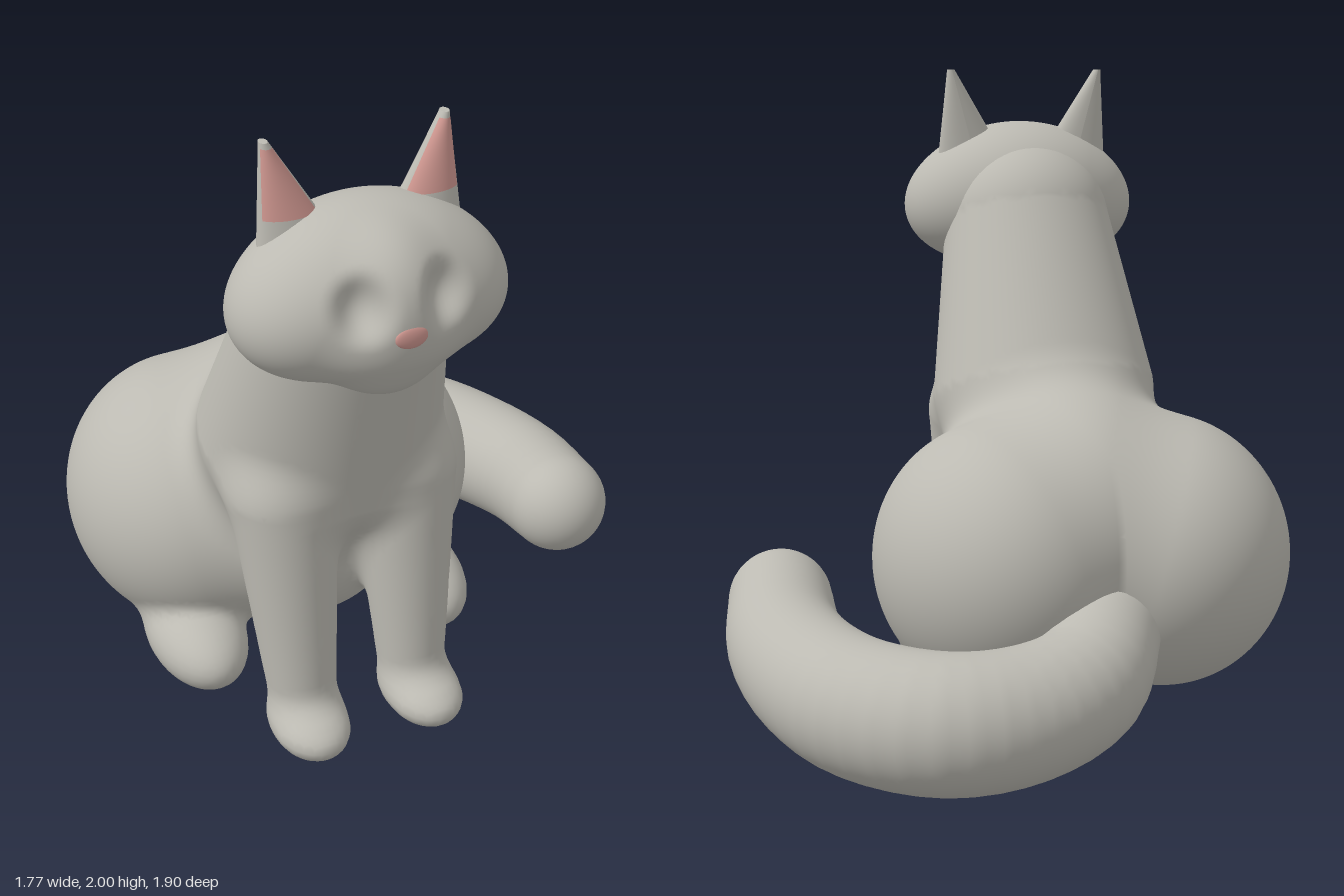
import * as THREE from 'three';

const CX = -0.23; // the animal's midline; the tail curls out to its left

const fur = new THREE.MeshStandardMaterial({ color: 0xbcbab2 });
fur.name = 'grey fur';
const pink = new THREE.MeshStandardMaterial({ color: 0xcf9790 });
pink.name = 'pink skin';

// ---- distance helpers for soft, blended volumes ----
const lerp = THREE.MathUtils.lerp;

function blend(a, b, k) {
  const h = Math.max(k - Math.abs(a - b), 0) / k;
  return Math.min(a, b) - h * h * k * 0.25;
}

function carve(a, b, k) {
  return -blend(-a, b, k);
}

function ellipsoid(x, y, z, [cx, cy, cz], [rx, ry, rz]) {
  const a = (x - cx) / rx, b = (y - cy) / ry, c = (z - cz) / rz;
  const k0 = Math.hypot(a, b, c);
  const k1 = Math.hypot(a / rx, b / ry, c / rz);
  return k1 < 1e-6 ? -Math.min(rx, ry, rz) : (k0 * (k0 - 1)) / k1;
}

// limb tapering from radius ra at a to rb at b
function limb(x, y, z, a, ra, b, rb) {
  const dx = b[0] - a[0], dy = b[1] - a[1], dz = b[2] - a[2];
  let t = ((x - a[0]) * dx + (y - a[1]) * dy + (z - a[2]) * dz) / (dx * dx + dy * dy + dz * dz);
  t = Math.min(1, Math.max(0, t));
  return Math.hypot(x - a[0] - dx * t, y - a[1] - dy * t, z - a[2] - dz * t) - lerp(ra, rb, t);
}

// ---- smooth skin over a distance function (one vertex per crossed cell) ----
function skin(sdf, min, max, h) {
  const n = min.map((m, i) => Math.ceil((max[i] - m) / h) + 1);
  const step = [1, n[0], n[0] * n[1]];
  const field = new Float32Array(n[0] * n[1] * n[2]);
  const cell = new Int32Array(field.length).fill(-1);
  const each = (fn) => {
    for (let k = 0; k < n[2]; k++)
      for (let j = 0; j < n[1]; j++)
        for (let i = 0; i < n[0]; i++) fn([i, j, k], i + j * step[1] + k * step[2]);
  };
  each((g, id) => {
    field[id] = sdf(min[0] + g[0] * h, min[1] + g[1] * h, min[2] + g[2] * h);
  });

  const gradient = ([x, y, z]) => {
    const e = 0.004;
    return new THREE.Vector3(
      sdf(x + e, y, z) - sdf(x - e, y, z),
      sdf(x, y + e, z) - sdf(x, y - e, z),
      sdf(x, y, z + e) - sdf(x, y, z - e)).normalize();
  };

  const position = [], normal = [], index = [];
  each((g, id) => {
    if (g.some((v, i) => v >= n[i] - 1)) return;
    const sum = [0, 0, 0];
    let count = 0;
    for (let c = 0; c < 8; c++) {
      const o = [c & 1, (c >> 1) & 1, c >> 2];
      const ia = id + o[0] + o[1] * step[1] + o[2] * step[2];
      for (let a = 0; a < 3; a++) {
        if (o[a]) continue;
        const da = field[ia], db = field[ia + step[a]];
        if (da < 0 === db < 0) continue;
        for (let i = 0; i < 3; i++) sum[i] += o[i] + (i === a ? da / (da - db) : 0);
        count++;
      }
    }
    if (!count) return;
    const p = sum.map((s, i) => min[i] + (g[i] + s / count) * h);
    const d = sdf(...p), v = gradient(p);
    const q = [p[0] - v.x * d, p[1] - v.y * d, p[2] - v.z * d];
    cell[id] = position.length / 3;
    position.push(...q);
    normal.push(...gradient(q).toArray());
  });

  each((g, id) => {
    for (let a = 0; a < 3; a++) {
      const b = (a + 1) % 3, c = (a + 2) % 3;
      if (g[a] >= n[a] - 1 || !g[b] || !g[c]) continue;
      const inside = field[id] < 0;
      if (inside === field[id + step[a]] < 0) continue;
      const q = [id - step[b] - step[c], id - step[c], id, id - step[b]].map((i) => cell[i]);
      if (!inside) q.reverse();
      index.push(q[0], q[1], q[2], q[0], q[2], q[3]);
    }
  });

  const geo = new THREE.BufferGeometry();
  geo.setAttribute('position', new THREE.Float32BufferAttribute(position, 3));
  geo.setAttribute('normal', new THREE.Float32BufferAttribute(normal, 3));
  geo.setIndex(index);
  return geo;
}

// ---- seated body: chest, back, haunches, legs and paws (mirrored in x) ----
function bodyShape(x, y, z) {
  x = Math.abs(x);
  let d = limb(x / 1.07, y, z, [0, 1.5, 0.55], 0.26, [0, 0.95, 0.33], 0.345);
  let rear = ellipsoid(x, y, z, [0, 0.58, 0], [0.4, 0.45, 0.5]);
  rear = blend(rear, ellipsoid(x, y, z, [0.25, 0.5, -0.12], [0.41, 0.43, 0.465]), 0.08);
  d = blend(d, rear, 0.12);
  let leg = limb(x, y, z, [0.19, 0.85, 0.5], 0.16, [0.18, 0.17, 0.61], 0.1);
  leg = blend(leg, ellipsoid(x, y, z, [0.187, 0.13, 0.68], [0.115, 0.078, 0.152]), 0.06);
  d = blend(d, leg, 0.07);
  return blend(d, ellipsoid(x, y, z, [0.38, 0.19, 0.2], [0.15, 0.13, 0.26]), 0.05);
}

// ---- head: skull, cheeks, muzzle, chin and hollow eye sockets ----
function headShape(x, y, z) {
  x = Math.abs(x);
  let d = ellipsoid(x, y, z, [0, 1.575, 0.65], [0.36, 0.252, 0.26]);
  d = blend(d, ellipsoid(x, y, z, [0.2, 1.54, 0.67], [0.187, 0.155, 0.18]), 0.08);
  d = blend(d, ellipsoid(x, y, z, [0, 1.5, 0.78], [0.2, 0.13, 0.145]), 0.06);
  d = blend(d, ellipsoid(x, y, z, [0, 1.6, 0.77], [0.14, 0.18, 0.165]), 0.06);
  d = blend(d, ellipsoid(x, y, z, [0, 1.41, 0.76], [0.12, 0.09, 0.11]), 0.06);
  return carve(d, ellipsoid(x, y, z, [0.125, 1.65, 0.93], [0.062, 0.082, 0.09]), 0.05);
}

// ---- tail: centre line sweeping round to the left, with a radius at each point ----
const tailPath = new THREE.CatmullRomCurve3([
  [-0.22, 0.34, -0.42], [-0.08, 0.25, -0.64], [0.12, 0.21, -0.735], [0.34, 0.2, -0.735],
  [0.54, 0.2, -0.56], [0.65, 0.22, -0.33], [0.7, 0.26, -0.08], [0.68, 0.32, 0.2],
].map((p) => new THREE.Vector3(...p)));
const tailPoints = tailPath.getPoints(28).map((p) => p.toArray());
const tailRadius = (i) => 0.165 + 0.037 * Math.sin(Math.PI * i / 28);

function tailShape(x, y, z) {
  let d = Infinity;
  for (let i = 0; i < 28; i++) {
    d = Math.min(d, limb(x, y, z, tailPoints[i], tailRadius(i), tailPoints[i + 1], tailRadius(i + 1)));
  }
  return d;
}

// ---- ear: flattened cone leaning outward; t runs from base to tip ----
function earGeometry(side, t0, t1, open, spread, puff) {
  const geo = new THREE.CylinderGeometry(1, 1, 1, 24, 8, open, -spread, 2 * spread);
  const p = geo.attributes.position;
  for (let i = 0; i < p.count; i++) {
    const t = lerp(t0, t1, p.getY(i) + 0.5);
    const x = side * lerp(0.175, 0.255, t) + p.getX(i) * lerp(0.118, 0.012, t);
    const z = lerp(0.615, 0.58, t) + p.getZ(i) * (lerp(0.055, 0.018, t) + puff);
    p.setXYZ(i, x, lerp(1.7, 2, t), z);
  }
  geo.computeVertexNormals();
  return geo;
}

export function createModel() {
  const model = new THREE.Group();
  const add = (name, geo, mat, x = CX) => {
    const mesh = new THREE.Mesh(geo, mat);
    mesh.name = name;
    mesh.position.x = x;
    model.add(mesh);
    return mesh;
  };

  add('body', skin(bodyShape, [-0.75, 0, -0.7], [0.75, 1.85, 0.92], 0.024), fur);
  add('head', skin(headShape, [-0.45, 1.25, 0.33], [0.45, 1.9, 1.02], 0.014), fur);
  add('tail', skin(tailShape, [-0.45, -0.05, -1], [0.95, 0.56, 0.42], 0.024), fur, 0);

  for (const [side, label] of [[1, 'left'], [-1, 'right']]) {
    add(label + 'Ear', earGeometry(side, 0, 1, false, Math.PI, 0), fur);
    add(label + 'InnerEar', earGeometry(side, 0.33, 0.95, true, 1.15, 0.003), pink);
  }

  // nose pad seated on the muzzle surface
  let noseZ = 1;
  while (headShape(0, 1.56, noseZ) > 0) noseZ -= 0.002;
  const nose = add('nose', new THREE.SphereGeometry(1, 24, 16), pink);
  nose.scale.set(0.046, 0.032, 0.012);
  nose.position.set(CX, 1.56, noseZ - 0.004);

  return model;
}
